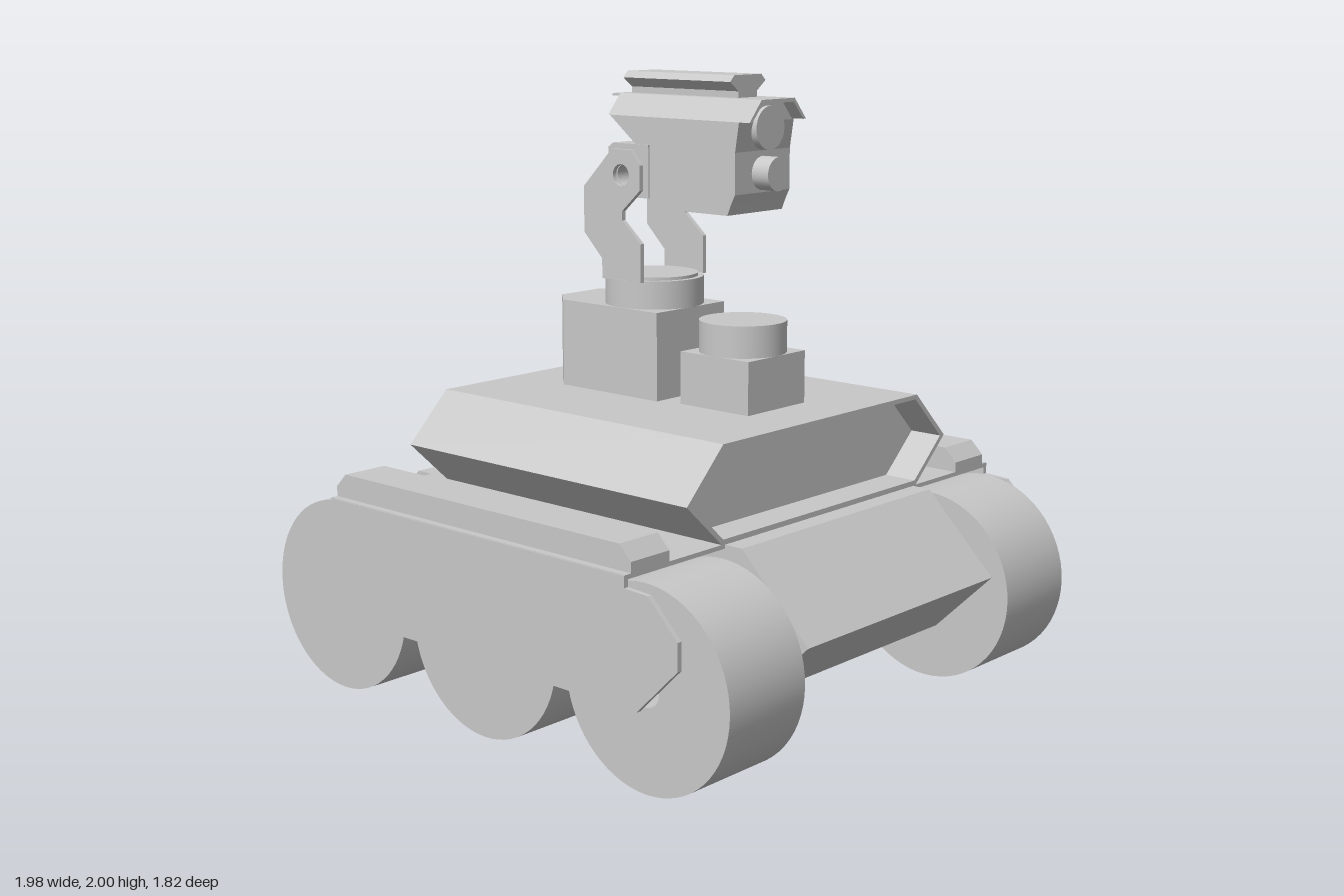
import * as THREE from 'three';
import { toCreasedNormals } from 'three/addons/utils/BufferGeometryUtils.js';

export function createModel() {
  const model = new THREE.Group();
  model.name = 'tracklessRover';
  const grey = new THREE.MeshStandardMaterial({ color: 0xc8c8c8 });
  grey.name = 'bodyGrey';

  const add = (name, geometry, x = 0, y = 0, z = 0) => {
    const mesh = new THREE.Mesh(geometry, grey);
    mesh.name = name;
    mesh.position.set(x, y, z);
    model.add(mesh);
    return mesh;
  };
  const outline = (points, holes = []) => {
    const shape = new THREE.Shape(points.map(([a, b]) => new THREE.Vector2(a, b)));
    shape.holes.push(...holes);
    return shape;
  };
  const circle = (x, y, r) => new THREE.Path().absarc(x, y, r, 0, Math.PI * 2, true);
  const extrude = (shape, depth) =>
    new THREE.ExtrudeGeometry(shape, { depth, bevelEnabled: false, curveSegments: 24 });
  // Side profile (x, y) pushed along z
  const alongZ = (name, points, z0, z1, holes) =>
    add(name, extrude(outline(points, holes), z1 - z0), 0, 0, z0);
  // Cross-section (z, y) pushed along x
  const alongX = (name, points, x0, x1, holes) =>
    add(name, extrude(outline(points, holes), x1 - x0).rotateY(Math.PI / 2), x0);
  // Symmetric cross-section from its right half, listed bottom to top
  const mirrored = (half) => [...half, ...half.map(([a, b]) => [-a, b]).reverse()];
  const box = (name, x0, x1, y0, y1, z0, z1) =>
    add(name, new THREE.BoxGeometry(x1 - x0, y1 - y0, z1 - z0),
      (x0 + x1) / 2, (y0 + y1) / 2, (z0 + z1) / 2);
  const drum = (name, r, x, y0, y1) =>
    add(name, new THREE.CylinderGeometry(r, r, y1 - y0, 48), x, (y0 + y1) / 2, 0);

  // Lower hull and deck
  alongZ('hull', [[-0.76, 0.2], [0.75, 0.2], [0.96, 0.405], [0.71, 0.655],
    [-0.72, 0.655], [-0.97, 0.405]], -0.475, 0.475);
  box('deckPlate', -0.65, 0.645, 0.643, 0.657, -0.905, 0.905);

  // Six wheels with axle holes
  const wheel = toCreasedNormals(new THREE.LatheGeometry(
    [[0.053, -0.165], [0.315, -0.165], [0.315, 0.165], [0.053, 0.165], [0.053, -0.165]]
      .map(([r, h]) => new THREE.Vector2(r, h)), 64).rotateX(Math.PI / 2), 0.6);
  for (const side of [-1, 1]) {
    for (const x of [-0.675, 0, 0.675]) add('wheel', wheel, x, 0.315, side * 0.69);
  }

  // Side skirts and the bevelled boxes on the fenders
  const skirt = [[-0.79, 0.265], [0.69, 0.265], [0.845, 0.42], [0.845, 0.505], [0.735, 0.615],
    [0.645, 0.62], [0.645, 0.655], [-0.63, 0.655], [-0.845, 0.435], [-0.845, 0.325]];
  const fenderBox = [[-0.65, 0.655], [0.645, 0.655], [0.645, 0.69], [0.6, 0.735],
    [-0.605, 0.735], [-0.65, 0.69]];
  for (const side of [-1, 1]) {
    const s = side * 0.9;
    const b = side * 0.8;
    alongZ('sideSkirt', skirt, s - 0.008, s + 0.008);
    alongZ('fenderBox', fenderBox, b - 0.08, b + 0.08);
  }

  // Upper hull, with a shallow open recess at the +x end
  const upper = mirrored([[0.49, 0.657], [0.645, 0.8], [0.485, 0.96]]);
  const recess = mirrored([[0.483, 0.672], [0.623, 0.8], [0.478, 0.945]]);
  alongX('upperHull', upper, -0.56, 0.53);
  alongX('upperHullRim', upper, 0.53, 0.645, [outline(recess)]);

  // Turret pedestal with chamfered rear corners
  const pedestal = extrude(outline([[-0.41, -0.09], [-0.33, -0.165], [0.09, -0.165],
    [0.09, 0.165], [-0.33, 0.165], [-0.41, 0.09]]), 0.29).rotateX(-Math.PI / 2);
  add('pedestal', pedestal, 0, 0.957, 0);
  drum('turntable', 0.162, -0.07, 1.245, 1.338);
  drum('turntableCap', 0.143, -0.07, 1.338, 1.348);

  // Sensor post
  box('sensorBase', 0.17, 0.45, 0.957, 1.13, -0.14, 0.14);
  drum('sensorDrum', 0.14, 0.31, 1.13, 1.232);

  // Yoke arms carrying the head
  const arm = [[-0.155, 1.335], [0.015, 1.335], [0.015, 1.46], [-0.065, 1.53], [-0.065, 1.56],
    [0.012, 1.63], [0.012, 1.71], [-0.03, 1.757], [-0.11, 1.757], [-0.235, 1.63],
    [-0.235, 1.48], [-0.155, 1.4]];
  for (const side of [-1, 1]) {
    const z = side * 0.151;
    alongZ('yokeArm', arm, z - 0.008, z + 0.008, [circle(-0.07, 1.675, 0.035)]);
  }
  alongZ('hingeBlock', [[-0.145, 1.63], [-0.02, 1.605], [0.03, 1.605], [0.03, 1.775],
    [-0.125, 1.775], [-0.145, 1.76]], -0.138, 0.138, [circle(-0.07, 1.675, 0.035)]);

  // Head body
  alongZ('headBody', [[0.015, 1.61], [0.14, 1.575], [0.355, 1.575], [0.37, 1.61], [0.385, 1.64],
    [0.385, 1.77], [0.4, 1.865], [-0.145, 1.865], [-0.03, 1.775], [0.015, 1.74]], -0.133, 0.133);
  alongX('headTop', mirrored([[0.125, 1.86], [0.075, 1.918]]), -0.135, 0.4);

  // Thin hood overhanging the lens
  alongX('hood', [[0.137, 1.863], [0.08, 1.93], [-0.08, 1.93], [-0.137, 1.863],
    [-0.124, 1.863], [-0.075, 1.918], [0.075, 1.918], [0.124, 1.863]], -0.145, 0.445);
  box('hoodTab', -0.18, -0.13, 1.92, 1.928, -0.08, 0.08);

  // Lens and barrel on the head's front
  const barrel = (name, r, y, x0, x1) =>
    add(name, new THREE.CylinderGeometry(r, r, x1 - x0, 32).rotateZ(Math.PI / 2), (x0 + x1) / 2, y, 0);
  barrel('lens', 0.068, 1.84, 0.34, 0.415);
  barrel('barrel', 0.053, 1.7, 0.36, 0.45);

  // Accessory rail
  alongX('topRail', mirrored([[0.045, 1.928], [0.045, 1.95], [0.085, 1.98], [0.065, 2]]),
    -0.127, 0.323);

  return model;
}
